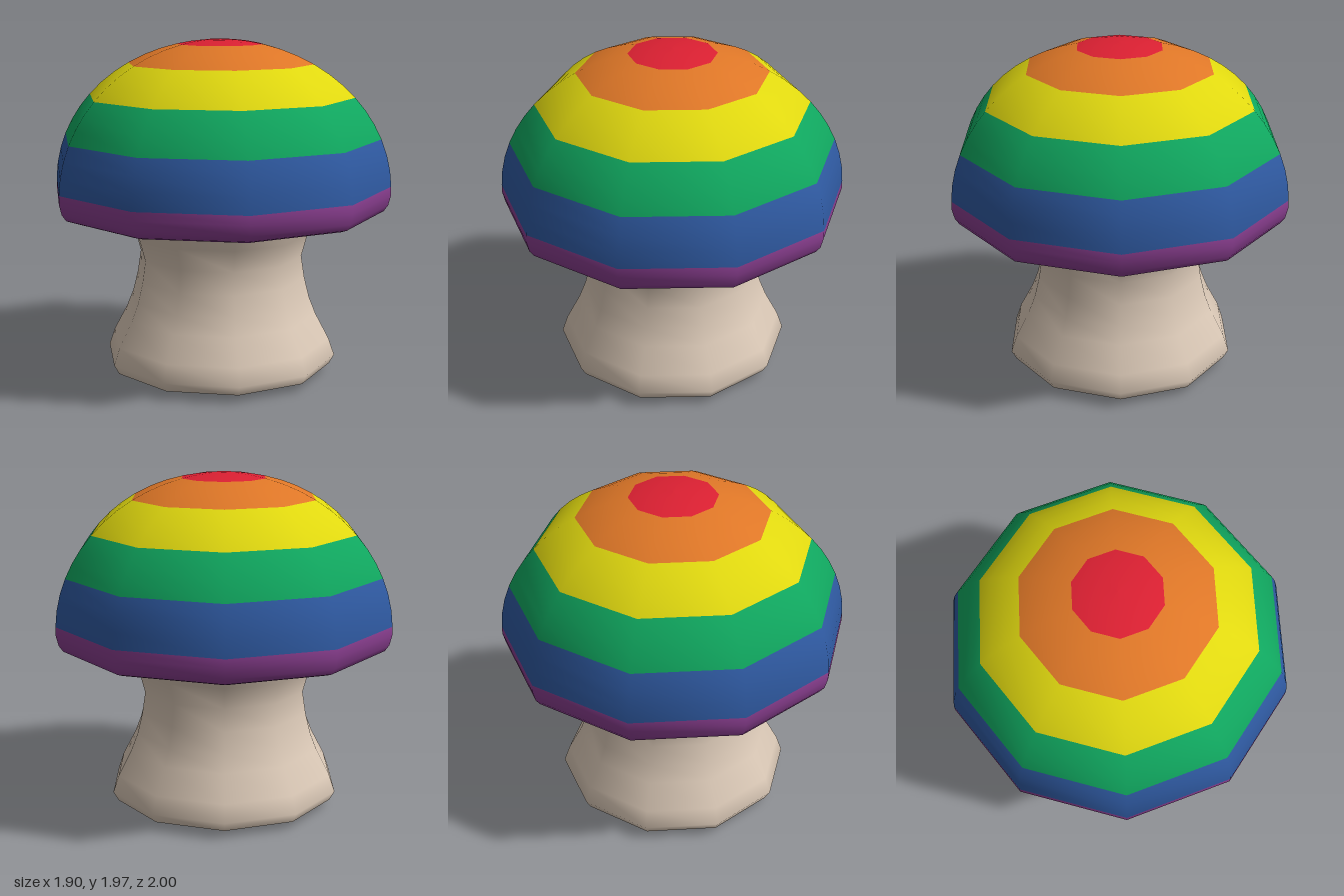
import * as THREE from 'three';

const SIDES = 10;

function material(name, color) {
  const m = new THREE.MeshStandardMaterial({ color });
  m.name = name;
  return m;
}

// Ten-sided turned shape; bands[j] is the material index of profile segment j.
function turned(name, profile, materials, bands) {
  const geometry = new THREE.LatheGeometry(profile.map(([r, y]) => new THREE.Vector2(r, y)), SIDES);
  if (bands) {
    const n = profile.length - 1;
    for (let i = 0; i < SIDES; i++) {
      for (let j = 0; j < n; j++) geometry.addGroup((i * n + j) * 6, 6, bands[j]);
    }
  }
  const mesh = new THREE.Mesh(geometry, materials);
  mesh.name = name;
  return mesh;
}

export function createModel() {
  const group = new THREE.Group();
  group.name = 'mushroom';

  const cream = material('stemCream', 0xdac8b6);
  const rainbow = [
    material('purple', 0x8c3f92),
    material('blue', 0x2f5aa2),
    material('green', 0x10a75f),
    material('yellow', 0xe0d80f),
    material('orange', 0xdf7727),
    material('red', 0xdc2032),
  ];

  // Cap: rounded purple lip, then an elliptical dome in rainbow bands
  const capProfile = [[0.925, 0.972], [0.96, 0.985], [0.985, 1.02], [1, 1.08]];
  const capBands = [0, 0, 0, 0];
  const bandEdges = [2, 20.5, 38.5, 57, 75.5, 90];
  const steps = 3;
  capProfile.push(dome(bandEdges[0]));
  for (let b = 0; b < 5; b++) {
    for (let s = 1; s <= steps; s++) {
      capProfile.push(dome(THREE.MathUtils.lerp(bandEdges[b], bandEdges[b + 1], s / steps)));
      capBands.push(b + 1);
    }
  }
  group.add(turned('cap', capProfile, rainbow, capBands));

  // Underside: shallow hollow with the bands repeated inwards to the stem
  const radii = [0.4, 0.6, 0.705, 0.79, 0.91, 0.95];
  const underProfile = radii.map((r) => [r, 0.972 + (0.95 - r) * 0.15]);
  underProfile[5] = [0.925, 0.972];
  underProfile[4][0] = 0.9;
  group.add(turned('capUnderside', underProfile, rainbow, [5, 4, 3, 2, 1]));

  // Stem: wide foot, narrow neck, flaring into the cap
  group.add(turned('stem', [
    [0.66, 0.045], [0.69, 0.1], [0.655, 0.2], [0.575, 0.35], [0.535, 0.45], [0.505, 0.57],
    [0.485, 0.7], [0.52, 0.83], [0.58, 0.96], [0.6, 1.05], [0.5, 1.15], [0, 1.18],
  ], cream));
  group.add(turned('stemBase', [[0, 0], [0.5, 0.006], [0.66, 0.045]], cream));

  return group;
}

// Point on the dome profile at an angle above the rim
function dome(degrees) {
  const a = THREE.MathUtils.degToRad(degrees);
  return [degrees === 90 ? 0 : Math.cos(a), 1.1 + 0.867 * Math.sin(a)];
}
